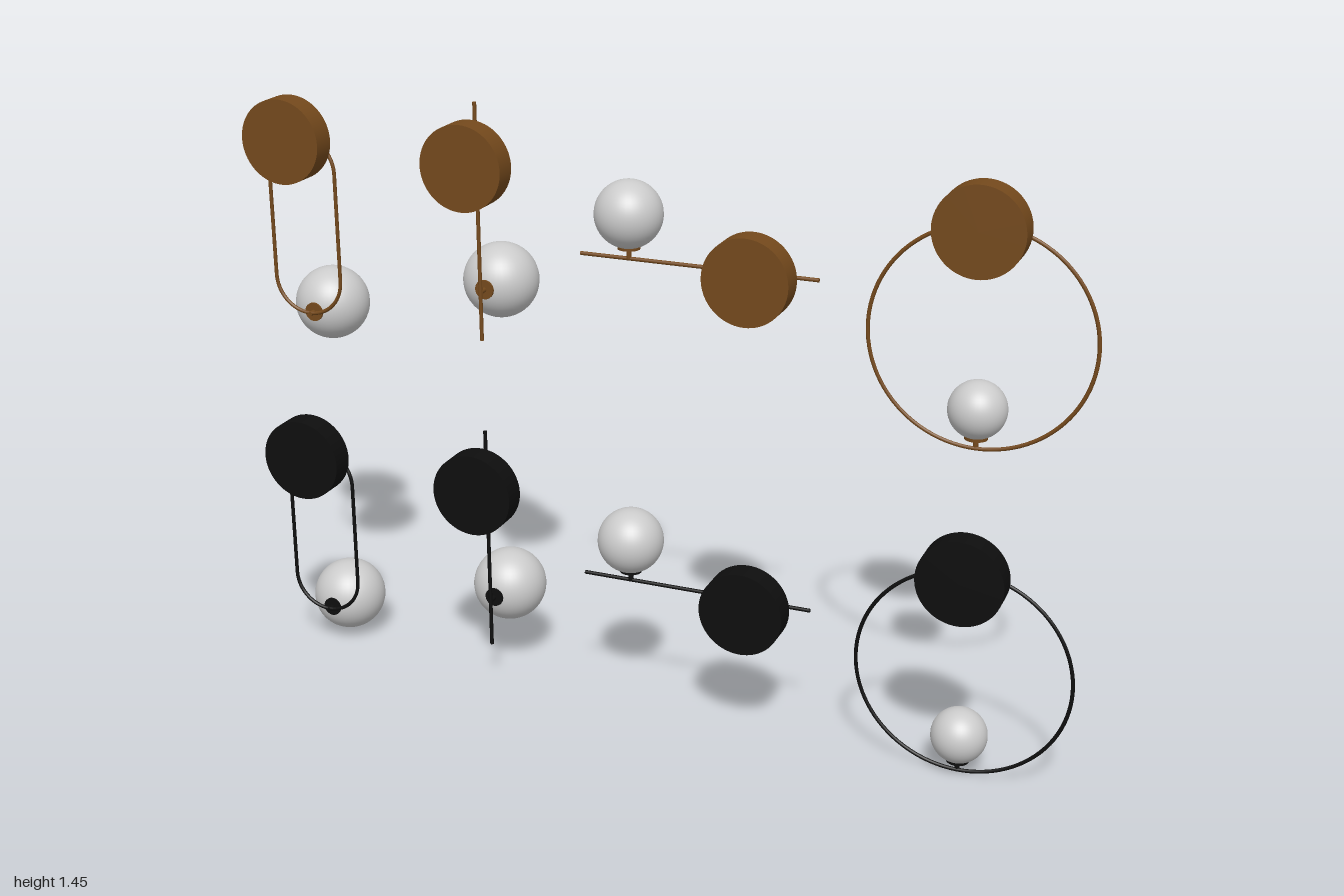
import * as THREE from 'three';

const ROD_Z = 0.058, ROD_R = 0.0045;
const glass = new THREE.MeshStandardMaterial({ color: 0xcccccc });

function add(parent, name, geometry, material, x = 0, y = 0, z = 0) {
  const mesh = new THREE.Mesh(geometry, material);
  mesh.name = name;
  mesh.position.set(x, y, z);
  parent.add(mesh);
  return mesh;
}

// Cylinder running between two points
function bar(parent, name, a, b, r, material, sides = 16) {
  const from = new THREE.Vector3(...a), to = new THREE.Vector3(...b);
  const dir = to.clone().sub(from);
  const mid = from.clone().add(to).multiplyScalar(0.5);
  const mesh = add(parent, name, new THREE.CylinderGeometry(r, r, dir.length(), sides), material, mid.x, mid.y, mid.z);
  mesh.quaternion.setFromUnitVectors(new THREE.Vector3(0, 1, 0), dir.normalize());
  return mesh;
}

// Round wall plate with the short post that grips the rod
function mount(lamp, x, y, metal) {
  bar(lamp, 'wallPlate', [x, y, 0.083], [x, y, 0.141], 0.1, metal, 64);
  bar(lamp, 'mountPost', [x, y, 0.037], [x, y, 0.09], 0.018, metal, 24);
}

// Globe hanging behind the rod
function rearGlobe(lamp, x, y, metal) {
  add(lamp, 'globe', new THREE.SphereGeometry(0.09, 40, 28), glass, x, y, -0.052);
  bar(lamp, 'globeSocket', [x, y, 0.02], [x, y, 0.04], 0.023, metal, 24);
  bar(lamp, 'globeStem', [x, y, 0.03], [x, y, ROD_Z], 0.006, metal);
}

// Globe standing on top of the rod
function uprightGlobe(lamp, x, rodY, y, r, metal) {
  add(lamp, 'globe', new THREE.SphereGeometry(r, 40, 28), glass, x, y, ROD_Z);
  bar(lamp, 'globeSocket', [x, y - r - 0.002, ROD_Z], [x, y - r + 0.015, ROD_Z], 0.026, metal, 24);
  bar(lamp, 'globeStem', [x, rodY, ROD_Z], [x, y - r + 0.005, ROD_Z], 0.006, metal);
}

// Stadium-shaped closed path: two half circles joined by straight sides
function stadium(x, bottom, top, r, z) {
  const path = new THREE.CurvePath();
  const arc = (cy, start) => {
    const pts = [];
    for (let i = 0; i <= 24; i++) {
      const a = start + (Math.PI * i) / 24;
      pts.push(new THREE.Vector3(x + r * Math.cos(a), cy + r * Math.sin(a), z));
    }
    return pts;
  };
  const pts = [...arc(top - r, 0), ...arc(bottom + r, Math.PI)];
  pts.forEach((p, i) => path.add(new THREE.LineCurve3(p, pts[(i + 1) % pts.length])));
  return path;
}

function lampSet(name, metal) {
  const set = new THREE.Group();
  set.name = name;
  const lamp = (n) => {
    const g = new THREE.Group();
    g.name = n;
    set.add(g);
    return g;
  };

  // Long loop lamp
  const loop = lamp('loopLamp');
  mount(loop, -0.9, 1.34, metal);
  add(loop, 'loopRod', new THREE.TubeGeometry(stadium(-0.9, 0.902, 1.34, 0.088, 0.054), 240, ROD_R, 8, true), metal);
  rearGlobe(loop, -0.9, 0.9, metal);

  // Vertical rod lamp
  const vertical = lamp('verticalLamp');
  mount(vertical, -0.437, 1.32, metal);
  bar(vertical, 'verticalRod', [-0.437, 0.892, ROD_Z], [-0.437, 1.455, ROD_Z], ROD_R, metal);
  rearGlobe(vertical, -0.437, 1.01, metal);

  // Horizontal rod lamp
  const horizontal = lamp('horizontalLamp');
  mount(horizontal, 0.24, 1.132, metal);
  bar(horizontal, 'horizontalRod', [-0.181, 1.132, ROD_Z], [0.382, 1.132, ROD_Z], ROD_R, metal);
  uprightGlobe(horizontal, -0.063, 1.132, 1.235, 0.078, metal);

  // Ring lamp
  const ring = lamp('ringLamp');
  mount(ring, 0.744, 1.298, metal);
  add(ring, 'ringRod', new THREE.TorusGeometry(0.249, ROD_R, 8, 96), metal, 0.744, 1.046, ROD_Z + 0.003);
  uprightGlobe(ring, 0.744, 0.797, 0.886, 0.065, metal);
  return set;
}

export function createModel() {
  const model = new THREE.Group();
  model.name = 'wallLamps';
  const upper = lampSet('bronzeLamps', new THREE.MeshStandardMaterial({ color: 0x74491c }));
  const lower = lampSet('blackLamps', new THREE.MeshStandardMaterial({ color: 0x0e0e0e }));
  lower.position.y = -0.79;
  model.add(upper, lower);
  return model;
}
